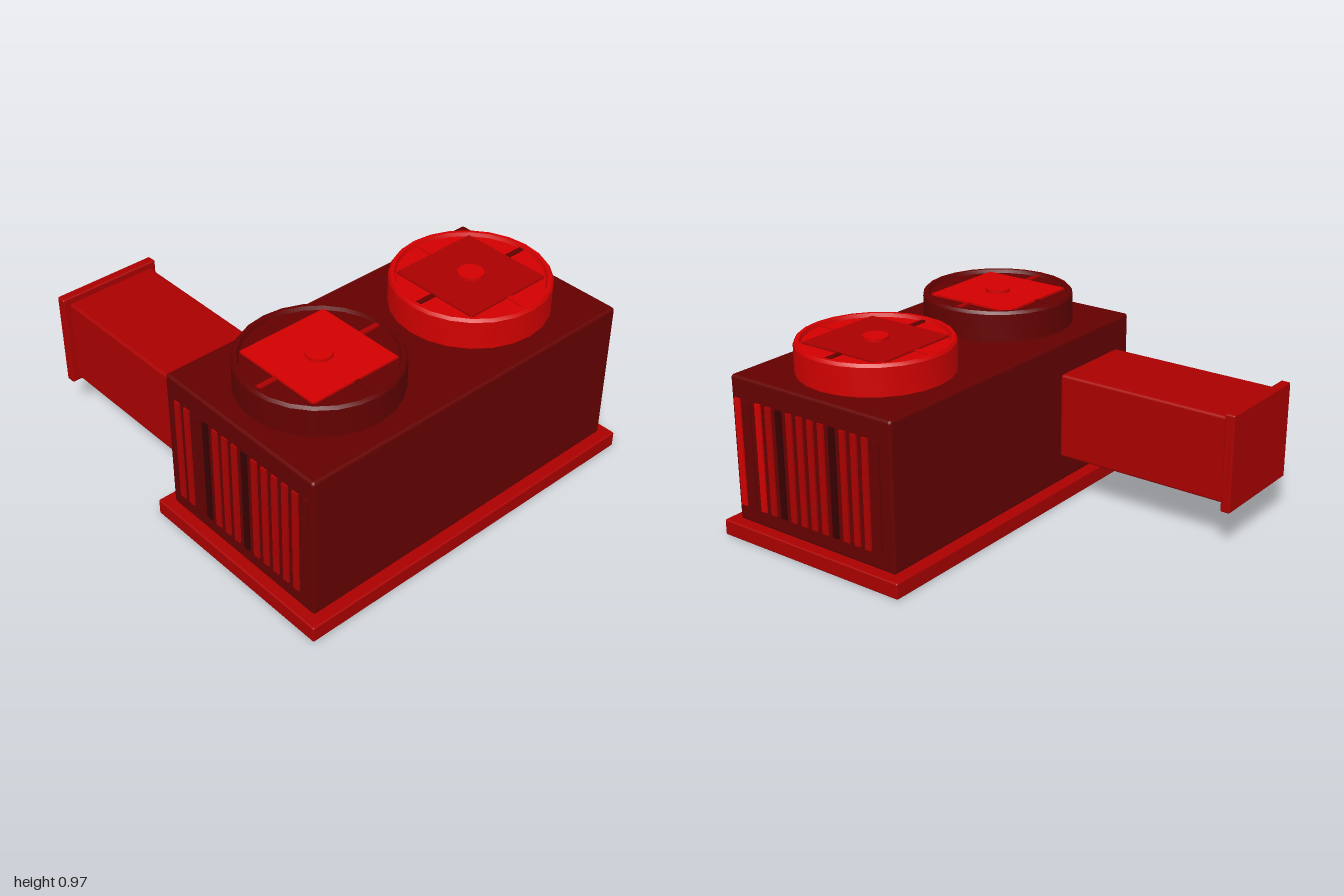
import * as THREE from 'three';
import { toCreasedNormals } from 'three/addons/utils/BufferGeometryUtils.js';
import { RoundedBoxGeometry } from 'three/addons/geometries/RoundedBoxGeometry.js';

const paint = (name, color) => {
  const m = new THREE.MeshStandardMaterial({ color });
  m.name = name;
  return m;
};

export function createModel() {
  const bright = paint('bright red', 0xd20000);
  const medium = paint('medium red', 0xaa0000);
  const dark = paint('dark red', 0x640000);
  const deep = paint('deep maroon', 0x360000);

  const model = new THREE.Group();
  model.name = 'rooftopUnit';

  const add = (parent, name, geometry, material, x = 0, y = 0, z = 0) => {
    const mesh = new THREE.Mesh(geometry, material);
    mesh.name = name;
    mesh.position.set(x, y, z);
    parent.add(mesh);
    return mesh;
  };

  // Box with softened edges, given by its lower and upper corners
  const block = (name, [x0, y0, z0], [x1, y1, z1], material, r) =>
    add(model, name, new RoundedBoxGeometry(x1 - x0, y1 - y0, z1 - z0, 2, r), material,
      (x0 + x1) / 2, (y0 + y1) / 2, (z0 + z1) / 2);

  // Plinth, housing and rear duct
  block('base', [-0.972, 0, -0.08], [0.972, 0.08, 1], medium, 0.008);
  block('housing', [-0.92, 0.08, -0.025], [0.92, 0.812, 0.945], dark, 0.016);
  block('duct', [-0.81, 0.22, -0.953], [-0.33, 0.652, -0.022], medium, 0.014);
  block('ductFlange', [-0.84, 0.192, -1], [-0.3, 0.68, -0.95], medium, 0.008);

  // Vertical louvres on both ends, from front to back
  const louvre = new THREE.BoxGeometry(0.02, 0.54, 0.034);
  const addLouvres = (name, x, colors) => {
    const louvres = new THREE.Group();
    louvres.name = name;
    colors.forEach((color, i) =>
      add(louvres, 'louvre', louvre, color, x, 0.435, 0.903 - i * 0.065));
    model.add(louvres);
  };
  addLouvres('leftLouvres', 0.919, [bright, dark, bright, medium, deep, medium, medium,
    medium, medium, deep, medium, medium, medium, dark]);
  addLouvres('rightLouvres', -0.919, [dark, medium, medium, medium, medium, medium, deep,
    medium, medium, medium, deep, dark, medium, medium]);

  // Round fan housing with a shallow recess
  const profile = [[0.377, 0.8], [0.377, 0.95], [0.367, 0.965], [0.35, 0.965],
    [0.343, 0.947], [0, 0.947]].map(([r, y]) => new THREE.Vector2(r, y));
  const shroud = toCreasedNormals(new THREE.LatheGeometry(profile, 24), 0.45);

  const fan = (name, x, colors) => {
    const group = new THREE.Group();
    group.name = name;
    group.position.set(x, 0, 0.46);
    add(group, 'shroud', shroud, colors.shroud);
    add(group, 'crossBar', new THREE.BoxGeometry(0.68, 0.012, 0.024), colors.cross, 0, 0.949, 0);
    add(group, 'longBar', new THREE.BoxGeometry(0.024, 0.012, 0.68), colors.long, 0, 0.948, 0);
    add(group, 'centrePlate', new THREE.BoxGeometry(0.475, 0.01, 0.475), colors.plate, 0, 0.952, -0.003);
    add(group, 'hub', new THREE.CylinderGeometry(0.062, 0.062, 0.03, 16), bright, 0, 0.958, 0);
    model.add(group);
  };
  fan('rightFan', -0.46, { shroud: dark, cross: medium, long: dark, plate: bright });
  fan('leftFan', 0.46, { shroud: bright, cross: dark, long: bright, plate: medium });

  return model;
}
